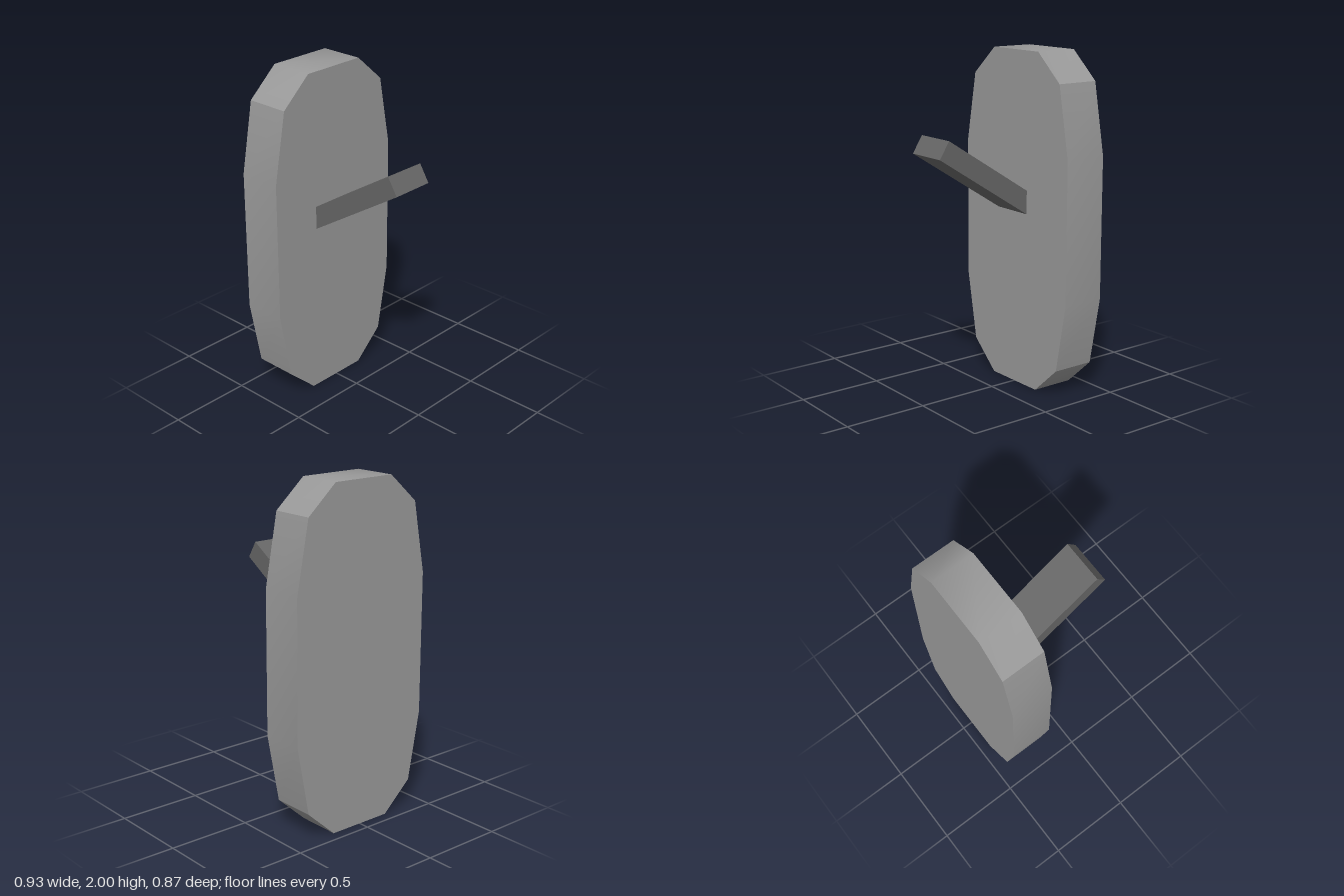
import * as THREE from 'three';

const BACK = -0.435, FRONT = -0.172;

// Wall swept along z through a run of outline points, smooth inside the run
function wall(points) {
  const pos = [], index = [];
  points.forEach(([x, y], i) => {
    pos.push(x, y, BACK, x, y, FRONT);
    if (i > 0) {
      const a = 2 * i - 2;
      index.push(a, a + 2, a + 1, a + 1, a + 2, a + 3);
    }
  });
  const g = new THREE.BufferGeometry();
  g.setAttribute('position', new THREE.Float32BufferAttribute(pos, 3));
  g.setIndex(index);
  g.computeVertexNormals();
  return g;
}

export function createModel() {
  const plateGrey = new THREE.MeshStandardMaterial({ color: 0x999999 });
  plateGrey.name = 'plate grey';
  const leverGrey = new THREE.MeshStandardMaterial({ color: 0x666666 });
  leverGrey.name = 'lever grey';

  const model = new THREE.Group();
  model.name = 'toggleSwitch';
  const add = (parent, name, geometry, material) => {
    const mesh = new THREE.Mesh(geometry, material);
    mesh.name = name;
    parent.add(mesh);
    return mesh;
  };

  // Outline runs, counter-clockwise; the rim creases only where runs meet
  const runs = {
    rightRim: [[0.386, 0.17], [0.463, 0.58], [0.463, 1.42], [0.386, 1.836]],
    topRim: [[0.386, 1.836], [0.2, 2], [-0.2, 2], [-0.386, 1.836]],
    leftRim: [[-0.386, 1.836], [-0.463, 1.42], [-0.463, 0.58], [-0.386, 0.17]],
    bottomRim: [[-0.386, 0.17], [-0.2, 0], [0.2, 0], [0.386, 0.17]],
  };
  runs.leftRim = [runs.rightRim, runs.rightRim = runs.leftRim][0]; // model's left is +x

  const plate = new THREE.Group();
  plate.name = 'plate';
  model.add(plate);
  for (const [name, run] of Object.entries(runs)) add(plate, name, wall(run), plateGrey);

  // Flat front and back faces
  const outline = [runs.leftRim, runs.topRim, runs.rightRim, runs.bottomRim]
    .flatMap((run) => run.slice(0, -1))
    .map(([x, y]) => new THREE.Vector2(x, y));
  const face = new THREE.ShapeGeometry(new THREE.Shape(outline));
  add(plate, 'plateFront', face, plateGrey).position.z = FRONT;
  const back = add(plate, 'plateBack', face.clone().rotateY(Math.PI), plateGrey);
  back.position.z = BACK;

  // Slanted lever: side profile in (z, y), extruded across x
  const profile = [[FRONT, 1.055], [0.437, 1.441], [0.375, 1.54], [FRONT, 1.195]];
  const side = new THREE.Shape(profile.map(([z, y]) => new THREE.Vector2(-z, y)));
  const lever = new THREE.ExtrudeGeometry(side, { depth: 0.263, bevelEnabled: false });
  lever.rotateY(Math.PI / 2).translate(-0.155, 0, 0);
  add(model, 'lever', lever, leverGrey);

  return model;
}
